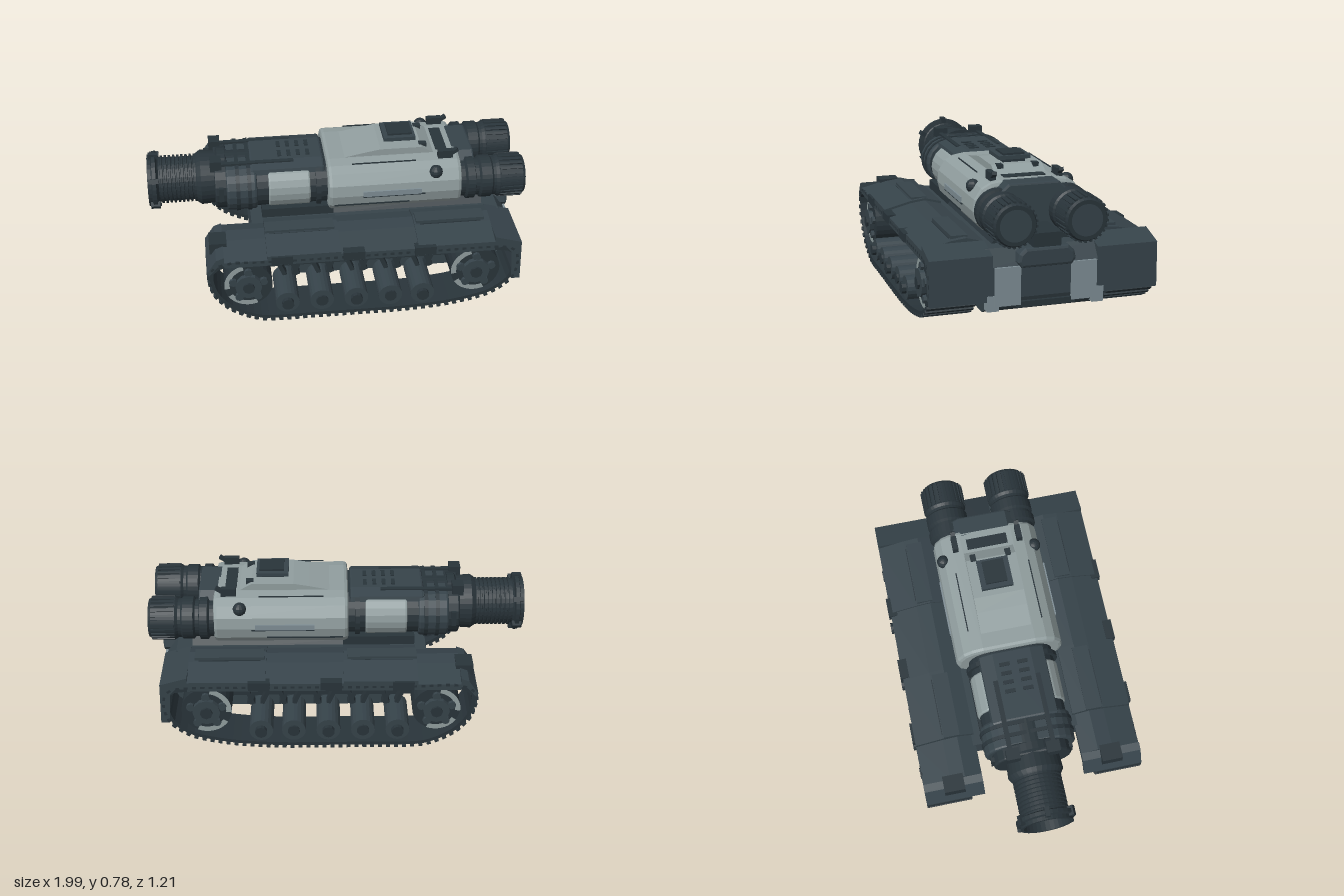
import * as THREE from 'three';
import { mergeGeometries } from 'three/addons/utils/BufferGeometryUtils.js';

const mat = (name, color, extra = {}) =>
  Object.assign(new THREE.MeshStandardMaterial({ color, flatShading: true, ...extra }), { name });

export function createModel() {
  const root = new THREE.Group();
  root.name = 'twinEngineTank';
  const armour = mat('dark slate armour', 0x36434a);
  const dark = mat('blackened metal', 0x29343a, { side: THREE.DoubleSide });
  const pale = mat('pale grey armour', 0x919e9f);
  const panel = mat('blue grey panel', 0x7f8e95);

  const add = (name, geo, m, parent = root) => {
    const mesh = new THREE.Mesh(geo, m);
    mesh.name = name;
    parent.add(mesh);
    return mesh;
  };
  // box given by its limits
  const box = (name, x0, x1, y0, y1, z0, z1, m, parent) =>
    add(name, new THREE.BoxGeometry(x1 - x0, y1 - y0, Math.abs(z1 - z0))
      .translate((x0 + x1) / 2, (y0 + y1) / 2, (z0 + z1) / 2), m, parent);
  // cross-section of [z, y] points, pushed along x
  const prism = (name, pts, x0, x1, m, parent = root, bevel = 0) => {
    const shape = new THREE.Shape(pts.map(([z, y]) => new THREE.Vector2(-z, y)));
    const geo = new THREE.ExtrudeGeometry(shape, {
      depth: x1 - x0 - 2 * bevel, bevelEnabled: bevel > 0, bevelSize: bevel,
      bevelThickness: bevel, bevelOffset: -bevel, bevelSegments: 2 });
    return add(name, geo.rotateY(Math.PI / 2).translate(x0 + bevel, 0, 0), m, parent);
  };
  // turned part along x from [x, radius] points, with x falling for an outward surface
  const turned = (name, pts, y, z, m, parent = root) =>
    add(name, new THREE.LatheGeometry(pts.map(([x, r]) => new THREE.Vector2(r, -x)), 32)
      .rotateZ(Math.PI / 2).translate(0, y, z), m, parent);
  const cylZ = (name, r, x, y, z0, z1, m, parent, n = 20) =>
    add(name, new THREE.CylinderGeometry(r, r, Math.abs(z1 - z0), n)
      .rotateX(Math.PI / 2).translate(x, y, (z0 + z1) / 2), m, parent);
  const mirrorPts = half => [...half, ...half.slice().reverse().map(([z, y]) => [-z, y])];

  // Hull between the tracks
  const hullSide = [[-0.46, 0.42], [-0.47, 0.33], [-0.3, 0.09], [-0.2, 0.08], [0.8, 0.08],
    [0.9, 0.13], [0.92, 0.18], [0.92, 0.34], [0.86, 0.42]];
  add('hull', new THREE.ExtrudeGeometry(
    new THREE.Shape(hullSide.map(p => new THREE.Vector2(...p))),
    { depth: 0.58, bevelEnabled: false }).translate(0, 0, -0.29), armour);
  prism('turretBase', mirrorPts([[0.25, 0.4], [0.2, 0.46]]), -0.4, 0.78, dark);
  prism('rearRoll', mirrorPts([[0.13, 0.33], [0.15, 0.36], [0.14, 0.4], [0.11, 0.43]]), 0.86, 0.945, armour, root, 0.015);
  box('rearSill', 0.87, 0.93, 0.13, 0.16, -0.15, 0.15, dark);

  // Track path in the x-y plane, shared by both sides
  const path = new THREE.CatmullRomCurve3([[-0.42, 0.03], [-0.1, 0.026], [0.3, 0.026], [0.55, 0.045],
    [0.75, 0.09], [0.86, 0.17], [0.89, 0.28], [0.83, 0.36], [0.4, 0.365], [-0.3, 0.365],
    [-0.6, 0.37], [-0.685, 0.32], [-0.665, 0.2], [-0.58, 0.1]]
    .map(([x, y]) => new THREE.Vector3(x, y, 0)), true, 'catmullrom', 0.4);
  const shoes = 84;
  const step = path.getLength() / shoes;
  const trackGeo = () => {
    const parts = [];
    for (let i = 0; i < shoes; i++) {
      const p = path.getPointAt(i / shoes), t = path.getTangentAt(i / shoes);
      for (const [len, thick, off, width] of [[1.04, 0.018, 0, 0.235], [0.5, 0.014, -0.016, 0.245]])
        parts.push(new THREE.BoxGeometry(step * len, thick, width).translate(0, off, 0)
          .rotateZ(Math.atan2(t.y, t.x)).translate(p.x, p.y, 0));
    }
    return mergeGeometries(parts);
  };

  for (const s of [1, -1]) {
    const side = new THREE.Group();
    side.name = s > 0 ? 'frontTrackUnit' : 'backTrackUnit';
    root.add(side);
    add('track', trackGeo().translate(0, 0, s * 0.463), dark, side);

    // Fender in stepped sections
    for (const [x0, x1, d] of [[-0.62, -0.4, -0.022], [-0.4, -0.02, 0], [-0.02, 0.38, -0.012], [0.38, 0.78, -0.003]])
      prism('fenderSection', [[0.27, 0.375], [0.27, 0.438], [0.36, 0.462], [0.44, 0.452], [0.585, 0.415], [0.585, 0.36]]
        .map(([z, y], i) => [z * s, i > 0 && i < 5 ? y + d : y]), x0, x1, armour, side);
    // Sloping ends of the fender
    const slope = (name, pts) => add(name, new THREE.ExtrudeGeometry(
      new THREE.Shape(pts.map(p => new THREE.Vector2(...p))), { depth: 0.315, bevelEnabled: false })
      .translate(0, 0, s > 0 ? 0.27 : -0.585), armour, side);
    slope('fenderNose', [[-0.62, 0.375], [-0.62, 0.425], [-0.66, 0.41], [-0.71, 0.335], [-0.695, 0.32], [-0.65, 0.375]]);
    slope('rearGuard', [[0.78, 0.375], [0.78, 0.44], [0.92, 0.4], [0.925, 0.17], [0.88, 0.17], [0.87, 0.34], [0.84, 0.375]]);
    box('noseLocker', -0.69, -0.6, 0.38, 0.44, s * 0.37, s * 0.48, dark, side).rotation.z = 0;
    // Raised lids and outer lugs
    for (const x of [-0.4, 0.39]) {
      box('fenderLid', x, x + 0.36, 0.44, 0.466, s * 0.345, s * 0.43, armour, side);
      box('fenderLidSeam', x + 0.02, x + 0.34, 0.445, 0.453, s * 0.434, s * 0.438, dark, side);
    }
    for (const x of [-0.38, -0.01, 0.36])
      box('fenderLug', x, x + 0.11, 0.37, 0.415, s * 0.55, s * 0.598, dark, side);

    // End wheels
    for (const [x, y, r] of [[-0.5, 0.225, 0.125], [0.69, 0.225, 0.13]]) {
      cylZ('endWheel', r, x, y, s * 0.36, s * 0.555, dark, side, 28);
      const rim = (name, r0, r1, a, len, m) => {
        const g = new THREE.RingGeometry(r0, r1, 24, 1, a, len);
        if (s < 0) g.rotateY(Math.PI);
        return add(name, g.translate(x, y, s * 0.558), m, side);
      };
      rim('wheelRim', r * 0.78, r, s > 0 ? 1.8 : -0.1, 1.5, pale);
      rim('wheelRim', r * 0.78, r, s > 0 ? 3.7 : 4.3, 1.4, pale);
      cylZ('wheelHub', r * 0.55, x, y, s * 0.5, s * 0.58, armour, side, 12);
      cylZ('hubCap', r * 0.25, x, y, s * 0.5, s * 0.592, dark, side, 8);
      for (let i = 0; i < 5; i++) {
        const a = i * Math.PI * 0.4 + 0.3;
        cylZ('wheelBolt', 0.022, x + Math.cos(a) * r * 0.66, y + Math.sin(a) * r * 0.66, s * 0.53, s * 0.572, armour, side, 8);
      }
    }
    // Road rollers, swing arms and braces
    [-0.3, -0.12, 0.06, 0.24, 0.41].forEach((x, i) => {
      cylZ('roller', 0.062, x, 0.112, s * 0.34, s * 0.58, armour, side);
      cylZ('rollerCap', 0.032, x, 0.112, s * 0.56, s * (i % 2 ? 0.59 : 0.603), dark, side, 10);
      cylZ('rollerAxle', 0.02, x, 0.112, s * 0.27, s * 0.35, dark, side, 8);
      for (const [dx, tilt] of [[-0.04, 0.4], [0.03, 0.4], [0.08, -0.35]]) {
        const brace = add('brace', new THREE.BoxGeometry(0.022, 0.2, 0.05), dark, side);
        brace.position.set(x + dx, 0.265, s * 0.4);
        brace.rotation.z = tilt;
      }
    });
    box('innerPanel', -0.4, 0.6, 0.18, 0.37, s * 0.29, s * 0.35, dark, side);

    // Pale rear corner panels
    box('rearPanel', 0.86, 0.932, 0.145, 0.34, s * 0.13, s * 0.262, panel, side);
    box('rearPanelFoot', 0.87, 0.926, 0.12, 0.2, s * 0.24, s * 0.3, panel, side);
  }

  // Barrel with ribbed, hollow muzzle
  const ribs = [];
  for (let i = 0; i < 9; i++) {
    const x = -0.735 - i * 0.022;
    ribs.push([x, 0.128], [x - 0.011, 0.128], [x - 0.013, 0.117], [x - 0.02, 0.117]);
  }
  turned('barrel', [[-0.4, 0.14], [-0.58, 0.14], [-0.58, 0.158], [-0.62, 0.158], [-0.63, 0.14],
    [-0.71, 0.146], [-0.73, 0.132], ...ribs, [-0.94, 0.13], [-0.945, 0.155], [-0.965, 0.155],
    [-0.97, 0.138], [-0.99, 0.138], [-0.99, 0.122], [-0.75, 0.11], [-0.75, 0]], 0.55, 0, dark);
  for (let i = 0; i < 6; i++) {
    const a = i * Math.PI / 3 + 0.5;
    const lug = add('muzzleLug', new THREE.BoxGeometry(0.05, 0.025, 0.03), dark);
    lug.position.set(-0.955, 0.55 + Math.sin(a) * 0.15, Math.cos(a) * 0.15);
    lug.rotation.x = -a;
  }

  // Broad gun housing behind the barrel
  const oval = (w, h) => {
    const half = [];
    for (let i = 0; i <= 10; i++) {
      const a = -Math.PI / 2 + i * Math.PI / 10;
      half.push([w - h + h * Math.cos(a), 0.555 + h * Math.sin(a)]);
    }
    return mirrorPts(half);
  };
  prism('housingCollar', oval(0.205, 0.135), -0.64, -0.57, dark, root, 0.01);
  prism('housingFront', oval(0.24, 0.128), -0.58, -0.42, armour, root, 0.012);
  prism('housingCore', oval(0.225, 0.115), -0.44, 0.02, dark);
  prism('housingPaleBand', oval(0.235, 0.122), -0.36, -0.14, pale, root, 0.01);
  prism('housingRing', oval(0.245, 0.128), -0.11, -0.085, dark);
  for (const x of [-0.53, -0.47]) prism('housingRib', oval(0.246, 0.134), x, x + 0.02, dark);
  prism('housingSpine', mirrorPts([[0.19, 0.6], [0.17, 0.675], [0.1, 0.695]]), -0.45, -0.06, armour, root, 0.012);
  for (const s of [1, -1]) {
    box('spineRail', -0.63, -0.22, 0.682, 0.695, s * 0.1, s * 0.125, dark);
    box('railClamp', -0.66, -0.6, 0.66, 0.72, s * 0.07, s * 0.14, dark);
    box('collarEar', -0.62, -0.595, 0.52, 0.6, s * 0.19, s * 0.215, dark);
    for (let i = 0; i < 4; i++) box('spineVent', -0.3 + i * 0.05, -0.28 + i * 0.05, 0.69, 0.7, s * 0.02, s * 0.075, dark);
    box('housingSkid', -0.4, -0.02, 0.42, 0.47, s * 0.16, s * 0.235, dark);
  }

  // Pale turret shell
  prism('turretShell', mirrorPts([[0.16, 0.44], [0.235, 0.45], [0.272, 0.49], [0.288, 0.55], [0.28, 0.61],
    [0.245, 0.665], [0.2, 0.69], [0.14, 0.7]]), -0.05, 0.66, pale, root, 0.02);
  const roof = [[0.0, 0.69], [0.16, 0.722], [0.24, 0.736], [0.46, 0.736], [0.54, 0.69]];
  add('roofPlate', new THREE.ExtrudeGeometry(new THREE.Shape(roof.map(p => new THREE.Vector2(...p))),
    { depth: 0.27, bevelEnabled: false }).translate(0, 0, -0.135), pale);
  prism('roofHatch', mirrorPts([[0.06, 0.73], [0.06, 0.75], [0.058, 0.76], [0.058, 0.782]]), 0.29, 0.42, dark);
  box('hatchLid', 0.265, 0.435, 0.752, 0.772, -0.085, 0.085, armour);
  box('roofScuff', 0.54, 0.6, 0.698, 0.704, -0.11, 0.11, dark);
  for (const s of [1, -1]) {
    add('sideKnob', new THREE.SphereGeometry(0.036, 12, 8), dark).position.set(0.52, 0.65, s * 0.25);
    box('rearHook', 0.54, 0.62, 0.69, 0.735, s * 0.16, s * 0.19, dark).name = 'rearHook';
    const fin = add('hookFin', new THREE.BoxGeometry(0.06, 0.018, 0.025), dark);
    fin.position.set(0.62, 0.72, s * 0.175);
    fin.rotation.z = 0.6;
    box('roofCatch', 0.45, 0.49, 0.72, 0.742, s * 0.08, s * 0.11, dark);
    box('sidePanel', 0.13, 0.44, 0.545, 0.575, s * 0.284, s * 0.292, panel);
    box('sideSeam', 0.13, 0.46, 0.54, 0.547, s * 0.284, s * 0.291, dark);
    box('sideSeam', -0.02, 0.38, 0.488, 0.496, s * 0.268, s * 0.276, dark);
    box('roofSeam', 0.08, 0.42, 0.693, 0.698, s * 0.196, s * 0.202, dark);
  }

  // Engine block and twin exhaust pods
  prism('engineBlock', mirrorPts([[0.16, 0.43], [0.22, 0.5], [0.2, 0.64], [0.13, 0.7]]), 0.62, 0.74, armour, root, 0.01);
  box('engineSpine', 0.74, 0.94, 0.43, 0.5, -0.07, 0.07, dark);
  for (const s of [1, -1]) {
    const pod = new THREE.Group();
    pod.name = 'enginePod';
    root.add(pod);
    turned('podBody', [[1, 0.08], [1, 0.1], [0.985, 0.108], [0.86, 0.113], [0.845, 0.104], [0.83, 0.104],
      [0.82, 0.113], [0.765, 0.113], [0.755, 0.1], [0.735, 0.1], [0.73, 0.115], [0.69, 0.115],
      [0.68, 0.1], [0.62, 0.1]].map(([x, r]) => [x, r]), 0.562, s * 0.18, dark, pod);
    add('podNozzle', new THREE.CircleGeometry(0.09, 28).rotateY(Math.PI / 2)
      .translate(0.982, 0.562, s * 0.18), armour, pod);
    for (let i = 0; i < 26; i++) {
      const a = i * Math.PI / 13;
      const fin = add('podFin', new THREE.BoxGeometry(0.12, 0.014, 0.012), dark, pod);
      fin.position.set(0.925, 0.562 + Math.cos(a) * 0.11, s * 0.18 + Math.sin(a) * 0.11);
      fin.rotation.x = a;
    }
  }
  return root;
}
